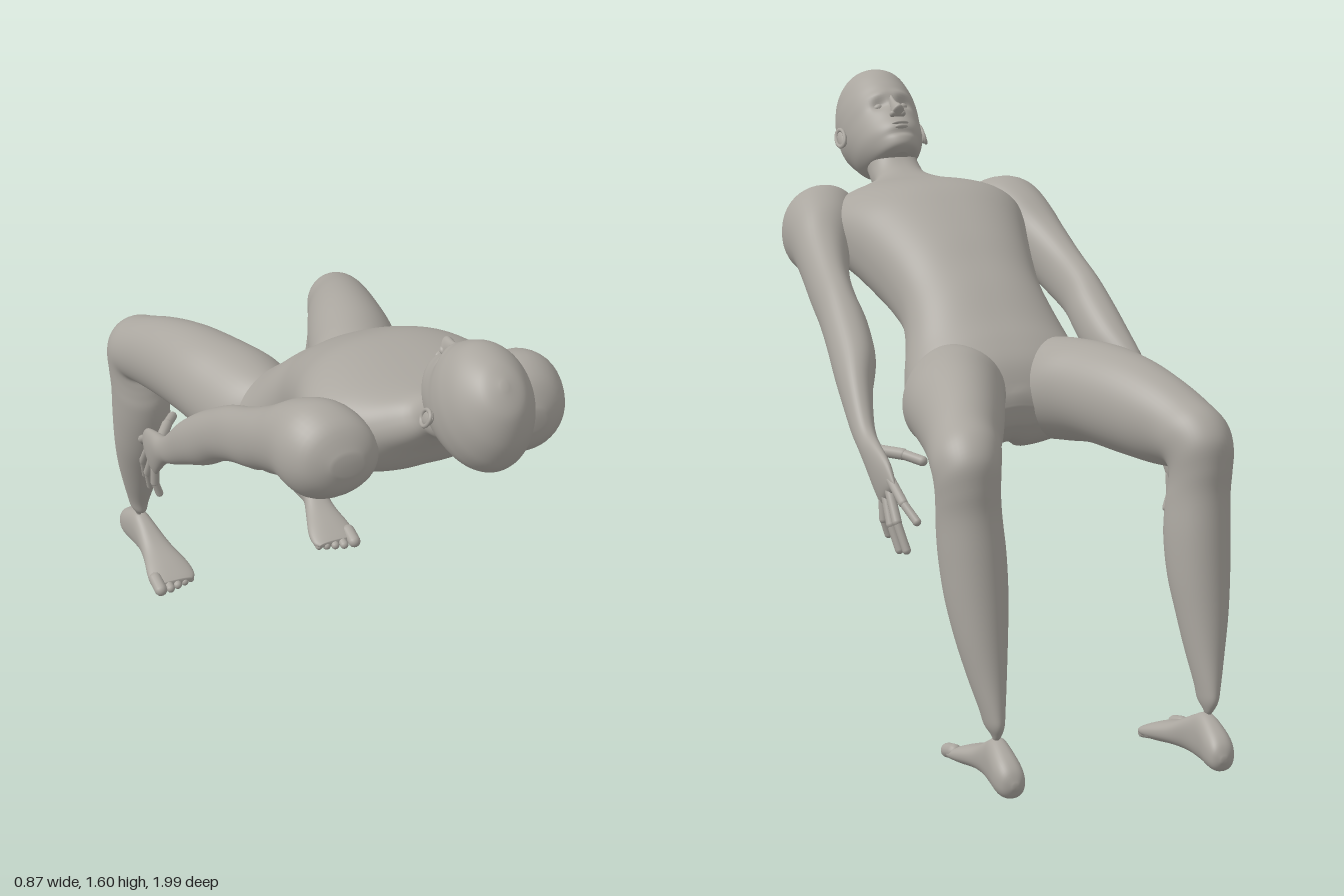
import * as THREE from 'three';

const skin = new THREE.MeshStandardMaterial({ color: 0xaaa69f });
skin.name = 'warm grey';

// Smooth loft. Each section: [topZ, topY, bottomZ, bottomY, centreX, halfWidth]
function loft(name, sections, { side = 1, power = 2, around = 40, steps = 5, bend } = {}) {
  const n = sections.length, rings = [];
  const at = i => sections[Math.max(0, Math.min(n - 1, i))];
  for (let i = 0; i < n - 1; i++) {
    for (let k = 0; k < steps; k++) {
      const t = k / steps, [a, b, c, d] = [at(i - 1), at(i), at(i + 1), at(i + 2)];
      rings.push(b.map((v, j) => v + 0.5 * t * (c[j] - a[j]
        + t * (2 * a[j] - 5 * v + 4 * c[j] - d[j] + t * (3 * (v - c[j]) + d[j] - a[j])))));
    }
  }
  rings.push(sections[n - 1]);
  const pos = [], idx = [];
  const round = v => Math.sign(v) * Math.pow(Math.abs(v), 2 / power);
  for (const [tz, ty, bz, by, x, w] of rings) {
    for (let k = 0; k < around; k++) {
      const a = k / around * Math.PI * 2, c = round(Math.cos(a)), s = round(Math.sin(a));
      const p = new THREE.Vector3(side * (x + w * c), (ty + by + s * (ty - by)) / 2, (tz + bz + s * (tz - bz)) / 2);
      if (bend) bend(p);
      pos.push(p.x, p.y, p.z);
    }
  }
  const m = rings.length;
  for (let i = 0; i < m - 1; i++) for (let k = 0; k < around; k++) {
    const a = i * around + k, b = i * around + (k + 1) % around;
    idx.push(a, b, a + around, b, b + around, a + around);
  }
  // End caps
  [[0, rings[0]], [(m - 1) * around, rings[m - 1]]].forEach(([start, r], e) => {
    const c = pos.length / 3;
    pos.push(side * r[4], (r[1] + r[3]) / 2, (r[0] + r[2]) / 2);
    for (let k = 0; k < around; k++) {
      const a = start + k, b = start + (k + 1) % around;
      if (e) idx.push(a, b, c); else idx.push(b, a, c);
    }
  });
  // Turn the faces outward
  const v = i => new THREE.Vector3().fromArray(pos, i * 3);
  let volume = 0;
  for (let i = 0; i < idx.length; i += 3) volume += v(idx[i]).dot(v(idx[i + 1]).cross(v(idx[i + 2])));
  if (volume < 0) idx.reverse();
  const g = new THREE.BufferGeometry();
  g.setAttribute('position', new THREE.Float32BufferAttribute(pos, 3));
  g.setIndex(idx);
  g.computeVertexNormals();
  return named(name, g);
}

function named(name, geometry) {
  const mesh = new THREE.Mesh(geometry, skin);
  mesh.name = name;
  return mesh;
}

function blob(name, [x, y, z], [sx, sy, sz]) {
  const mesh = named(name, new THREE.SphereGeometry(1, 24, 16).scale(sx, sy, sz));
  mesh.position.set(x, y, z);
  return mesh;
}

// Finger or toe: a chain of capsules through the points
function digit(name, side, points, radius) {
  const group = new THREE.Group();
  group.name = name;
  const p = points.map(([x, y, z]) => new THREE.Vector3(side * x, y, z));
  for (let i = 0; i < p.length - 1; i++) {
    const d = p[i + 1].clone().sub(p[i]);
    const joint = named(name + 'Joint', new THREE.CapsuleGeometry(radius * (1 - 0.12 * i), d.length(), 6, 14));
    joint.position.copy(p[i]).addScaledVector(d, 0.5);
    joint.quaternion.setFromUnitVectors(new THREE.Vector3(0, 1, 0), d.normalize());
    group.add(joint);
  }
  return group;
}

const bump = (a, b) => Math.exp(-a * a - b * b);

function makeTorso() {
  return loft('torso', [
    [.68, 1.42, .80, 1.31, 0, .068], [.625, 1.36, .72, 1.27, 0, .072], [.575, 1.335, .655, 1.245, 0, .085],
    [.52, 1.325, .61, 1.19, 0, .17], [.45, 1.33, .55, 1.10, 0, .26], [.36, 1.335, .46, 1.045, 0, .28],
    [.27, 1.325, .36, 1.01, 0, .26], [.18, 1.285, .27, .975, 0, .235], [.08, 1.225, .18, .94, 0, .212],
    [0, 1.165, .09, .895, 0, .20], [-.08, 1.105, .045, .83, 0, .21], [-.16, 1.035, 0, .745, 0, .235],
    [-.22, .985, -.07, .695, 0, .25], [-.27, .93, -.16, .68, 0, .235], [-.30, .86, -.24, .71, 0, .17],
    [-.305, .82, -.29, .77, 0, .08],
  ], {
    power: 2.3, around: 96, bend: p => {
      // Cleft of the seat and groove of the spine
      const cleft = bump(p.x / .03, (p.z + .08) / .13) * (p.y < .86 ? 1 : 0);
      p.y += .05 * cleft;
      p.z -= .025 * cleft;
      if (p.y < 1.2 && p.z > .1) p.y += .012 * bump(p.x / .035, (p.z - .35) / .15);
    },
  });
}

function makeHead() {
  const head = new THREE.Group();
  head.name = 'head';
  // Local frame: y to the crown, z out of the face
  head.add(loft('skull', [
    [.01, .167, -.01, .167, 0, .008], [.065, .15, -.075, .15, 0, .056], [.125, .1, -.13, .1, 0, .095],
    [.15, .04, -.16, .04, 0, .112], [.158, -.01, -.165, -.01, 0, .115], [.155, -.05, -.155, -.05, 0, .112],
    [.16, -.09, -.13, -.09, 0, .104], [.168, -.13, -.10, -.13, 0, .092], [.16, -.165, -.05, -.16, 0, .073],
    [.148, -.188, .02, -.178, 0, .05], [.12, -.197, .07, -.187, 0, .02],
  ], {
    around: 96, steps: 7, bend: p => {
      if (p.z < 0) return;
      const x = Math.abs(p.x);
      p.z -= .014 * bump((x - .036) / .02, (p.y + .04) / .015);
      p.z += .005 * bump((x - .036) / .03, (p.y + .008) / .012);
      p.z -= .007 * bump(p.x / .04, (p.y + .153) / .009);
    },
  }));
  head.add(loft('nose', [
    [.156, -.01, .13, -.01, 0, .007], [.171, -.05, .13, -.05, 0, .01], [.194, -.078, .13, -.085, 0, .016],
    [.193, -.09, .13, -.098, 0, .02], [.167, -.1, .13, -.103, 0, .013],
  ], { around: 24 }));
  head.add(blob('upperLip', [0, -.126, .162], [.025, .006, .013]));
  head.add(blob('lowerLip', [0, -.138, .16], [.021, .007, .013]));
  for (const side of [1, -1]) {
    head.add(blob('eye', [side * .036, -.04, .124], [.016, .012, .016]));
    head.add(blob('nostril', [side * .015, -.093, .165], [.009, .008, .012]));
    const ear = new THREE.Group();
    ear.name = 'ear';
    ear.add(blob('earShell', [0, 0, 0], [.009, .033, .019]));
    const rim = named('earRim', new THREE.TorusGeometry(.02, .005, 10, 28).scale(1, 1.5, 1).rotateY(Math.PI / 2));
    rim.position.x = side * .006;
    ear.add(rim);
    ear.position.set(side * .121, -.05, .005);
    ear.rotation.set(-.2, -side * .35, 0);
    head.add(ear);
  }
  const s = Math.SQRT1_2;
  head.quaternion.setFromRotationMatrix(new THREE.Matrix4().makeBasis(
    new THREE.Vector3(-1, 0, 0), new THREE.Vector3(0, s, s), new THREE.Vector3(0, s, -s)));
  head.position.set(0, 1.437, .83);
  return head;
}

function makeArm(side) {
  const arm = new THREE.Group();
  arm.name = side > 0 ? 'leftArm' : 'rightArm';
  arm.add(loft('armAndPalm', [
    [.615, 1.225, .62, 1.17, .25, .04], [.57, 1.29, .60, 1.11, .255, .10], [.49, 1.315, .54, 1.065, .275, .115],
    [.40, 1.28, .44, 1.06, .295, .098], [.31, 1.215, .35, 1.04, .325, .072], [.20, 1.15, .25, .995, .345, .058],
    [.10, 1.10, .15, .955, .355, .055], [.02, 1.05, .06, .905, .358, .06], [-.08, .98, -.03, .84, .368, .058],
    [-.16, .91, -.125, .79, .39, .042], [-.24, .825, -.20, .748, .403, .031], [-.29, .785, -.25, .722, .407, .026],
    [-.35, .765, -.29, .69, .408, .023], [-.42, .735, -.34, .64, .405, .02], [-.46, .695, -.37, .61, .402, .014],
    [-.47, .68, -.38, .60, .40, .004],
  ], { side, power: 2.1 }));
  const fingers = [
    ['indexFinger', [.402, .69, -.44], [.392, .645, -.505], [.372, .605, -.552]],
    ['middleFinger', [.402, .665, -.425], [.4, .59, -.48], [.385, .522, -.51]],
    ['ringFinger', [.402, .643, -.40], [.402, .575, -.44], [.388, .512, -.463]],
    ['littleFinger', [.402, .622, -.38], [.402, .575, -.385], [.39, .535, -.385]],
    ['thumb', [.395, .745, -.34], [.355, .745, -.40], [.32, .735, -.45]],
  ];
  fingers.forEach(([name, ...points], i) => arm.add(digit(name, side, points, i === 4 ? .015 : .0125)));
  return arm;
}

function makeLeg(side) {
  const leg = new THREE.Group();
  leg.name = side > 0 ? 'leftLeg' : 'rightLeg';
  leg.add(loft('thighAndShin', [
    [-.12, .96, -.10, .76, .13, .08], [-.20, .98, -.14, .70, .15, .122], [-.30, .99, -.26, .71, .17, .14],
    [-.40, .99, -.38, .725, .205, .132], [-.52, .975, -.50, .72, .237, .118], [-.63, .945, -.60, .715, .268, .105],
    [-.72, .908, -.665, .715, .295, .095], [-.79, .875, -.69, .712, .308, .09], [-.835, .82, -.685, .69, .313, .083],
    [-.842, .75, -.675, .66, .312, .08], [-.842, .68, -.665, .62, .308, .081], [-.855, .58, -.67, .55, .303, .083],
    [-.87, .47, -.695, .46, .30, .078], [-.885, .37, -.735, .37, .298, .065], [-.90, .28, -.775, .28, .294, .048],
    [-.915, .20, -.815, .20, .29, .03], [-.918, .165, -.83, .16, .288, .022], [-.905, .14, -.86, .14, .286, .012],
    [-.89, .125, -.87, .125, .286, .006],
  ], { side, around: 48 }));
  // Foot with toes pointing to the front, big toe on the outside
  leg.add(loft('foot', [
    [-1, .05, -1, .035, .278, .008], [-.985, .08, -.985, .01, .28, .03], [-.95, .105, -.95, .003, .282, .037],
    [-.885, .13, -.89, .006, .281, .033], [-.84, .115, -.83, .012, .275, .036], [-.77, .08, -.77, .012, .267, .048],
    [-.70, .058, -.70, .004, .263, .066], [-.655, .04, -.655, .004, .264, .069], [-.635, .03, -.635, .01, .264, .055],
  ], { side, power: 2.3 }));
  [.315, .283, .257, .232, .21].forEach((x, i) => {
    const r = i ? .0135 - i * .0005 : .019, tip = -.602 - i * .009 - r;
    leg.add(digit(i ? 'toe' : 'bigToe', side, [[x, r + .012, tip - .045], [x, r + .001, tip]], r));
  });
  return leg;
}

export function createModel() {
  const figure = new THREE.Group();
  figure.name = 'recliningFigure';
  figure.add(makeTorso(), makeHead());
  for (const side of [1, -1]) figure.add(makeArm(side), makeLeg(side));
  return figure;
}
